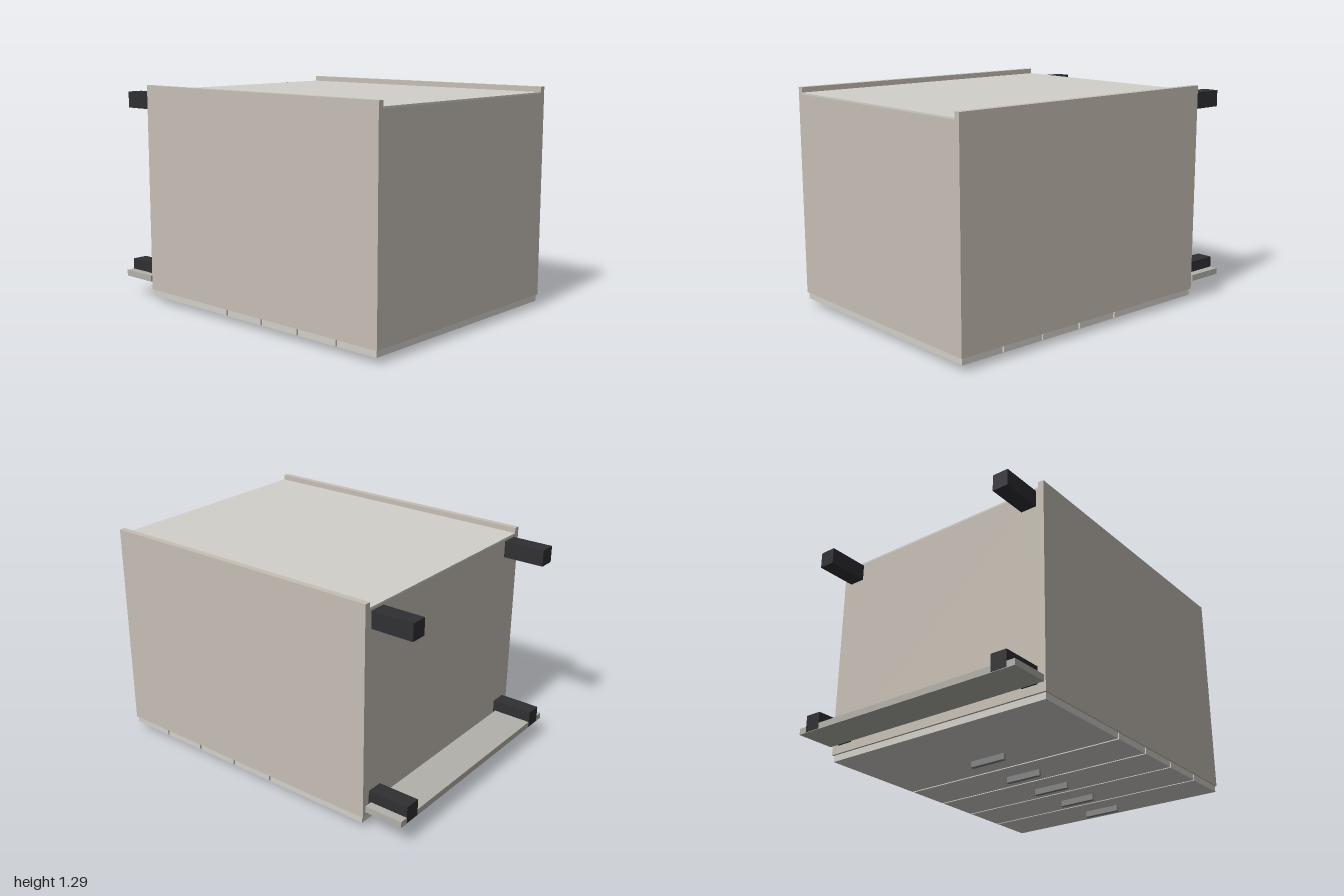
import * as THREE from 'three';

const mat = (color) => new THREE.MeshStandardMaterial({ color });

export function createModel() {
  const group = new THREE.Group();
  const body = mat(0xc6bfb5), white = mat(0xd2d0ca), plinthMat = mat(0xb2b1aa);
  const black = mat(0x303033), metal = mat(0x828282);

  // Box given by its [min, max] extent on each axis
  function box(name, material, [x0, x1], [y0, y1], [z0, z1]) {
    const mesh = new THREE.Mesh(new THREE.BoxGeometry(x1 - x0, y1 - y0, z1 - z0), material);
    mesh.position.set((x0 + x1) / 2, (y0 + y1) / 2, (z0 + z1) / 2);
    mesh.name = name;
    group.add(mesh);
  }

  // Carcass of a drawer cabinet lying on its drawer fronts
  const inner = 0.695;
  box('leftSidePanel', body, [inner, 0.73], [0.073, 1.29], [-0.755, 1]);
  box('rightSidePanel', body, [-0.73, -inner], [0.073, 1.29], [-0.755, 1]);
  box('cabinetTop', body, [-inner, inner], [0.073, 1.25], [0.965, 1]);
  box('cabinetBottom', body, [-inner, inner], [0.073, 1.25], [-0.755, -0.72]);
  box('backPanel', white, [-inner, inner], [1.25, 1.26], [-0.755, 1]);

  // Handle: a bar with rounded ends, standing out from the drawer front
  const r = 0.013, half = 0.117;
  const outline = new THREE.Shape();
  outline.absarc(half - r, 0, r, -Math.PI / 2, Math.PI / 2);
  outline.absarc(-half + r, 0, r, Math.PI / 2, Math.PI * 1.5);
  outline.closePath();
  const handleGeometry = new THREE.ExtrudeGeometry(outline, { depth: 0.036, bevelEnabled: false, curveSegments: 6 });
  handleGeometry.rotateX(-Math.PI / 2);

  // Drawer fronts, [z min, z max, handle z]
  const drawers = [
    [0.73, 0.992, 0.863], [0.457, 0.72, 0.59], [0.185, 0.447, 0.317],
    [-0.088, 0.174, 0.044], [-0.745, -0.1, -0.28],
  ];
  drawers.forEach(([z0, z1, hz], i) => {
    box(`drawerFront${i + 1}`, white, [-0.723, 0.723], [0.035, 0.072], [z0, z1]);
    const handle = new THREE.Mesh(handleGeometry, metal);
    handle.position.z = hz;
    handle.name = `handle${i + 1}`;
    group.add(handle);
  });

  // Legs at the four corners of the cabinet bottom
  for (const [side, x] of [['left', 0.633], ['right', -0.633]])
    for (const [end, y] of [['Back', 1.193], ['Front', 0.168]])
      box(`${side}${end}Leg`, black, [x - 0.048, x + 0.048], [y - 0.048, y + 0.048], [-1, -0.755]);

  // Plinth board clipped to the front legs
  box('plinth', plinthMat, [-0.73, 0.73], [0.117, 0.153], [-0.999, -0.77]);

  return group;
}
